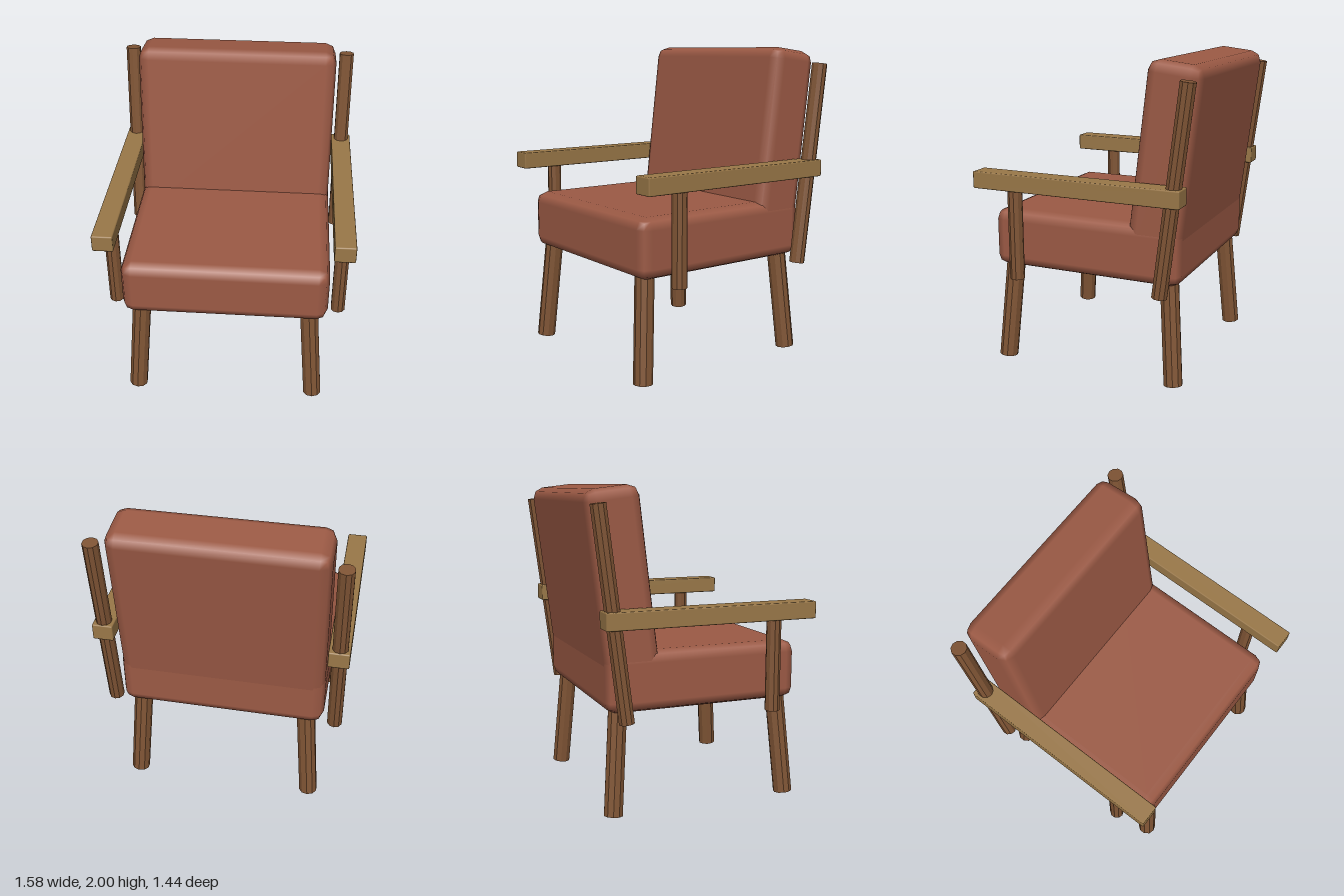
import * as THREE from 'three';
import { RoundedBoxGeometry } from 'three/addons/geometries/RoundedBoxGeometry.js';

const leather = new THREE.MeshStandardMaterial({ color: 0x9c5a45 });
const darkWood = new THREE.MeshStandardMaterial({ color: 0x805535, flatShading: true });
const lightWood = new THREE.MeshStandardMaterial({ color: 0x9a7848 });

// Box with softened edges
function softBox(name, size, position, radius, material) {
  const mesh = new THREE.Mesh(new RoundedBoxGeometry(...size, 1, radius), material);
  mesh.name = name;
  mesh.position.set(...position);
  return mesh;
}

// Round wooden rod between two points
function rod(name, from, to, radius) {
  const a = new THREE.Vector3(...from);
  const b = new THREE.Vector3(...to);
  const axis = b.clone().sub(a);
  const mesh = new THREE.Mesh(new THREE.CylinderGeometry(radius, radius, axis.length(), 10), darkWood);
  mesh.name = name;
  mesh.position.copy(a).add(b).multiplyScalar(0.5);
  mesh.quaternion.setFromUnitVectors(new THREE.Vector3(0, 1, 0), axis.normalize());
  return mesh;
}

export function createModel() {
  const chair = new THREE.Group();
  chair.name = 'armchair';

  // Cushions
  chair.add(softBox('seatCushion', [1.31, 0.375, 1.26], [0, 0.833, 0.035], 0.07, leather));
  const back = softBox('backCushion', [1.3, 1.2, 0.345], [0, 1.389, -0.476], 0.07, leather);
  back.rotation.x = -0.12;
  chair.add(back);

  for (const [side, s] of [['left', 1], ['right', -1]]) {
    // Splayed legs
    chair.add(rod(side + 'FrontLeg', [s * 0.59, 0.008, 0.625], [s * 0.538, 0.68, 0.573], 0.06));
    chair.add(rod(side + 'BackLeg', [s * 0.59, 0.008, -0.55], [s * 0.538, 0.68, -0.498], 0.06));

    // Armrest with its front support and raked back post
    chair.add(softBox(side + 'Armrest', [0.13, 0.108, 1.365], [s * 0.725, 1.232, 0.036], 0.008, lightWood));
    chair.add(rod(side + 'ArmSupport', [s * 0.727, 0.605, 0.457], [s * 0.727, 1.2, 0.457], 0.046));
    chair.add(rod(side + 'BackPost', [s * 0.727, 0.618, -0.507], [s * 0.727, 1.895, -0.668], 0.049));
  }
  return chair;
}
